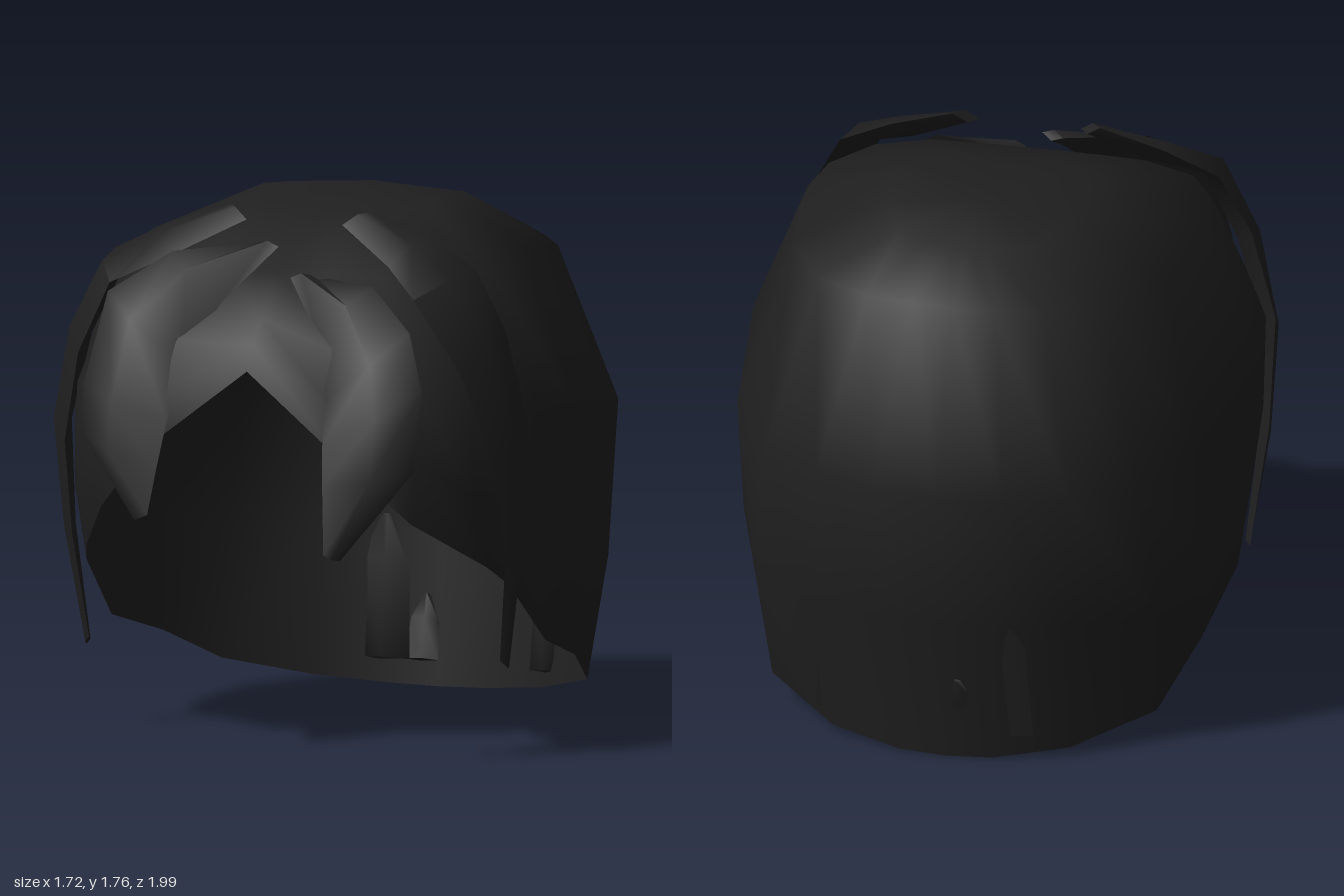
import * as THREE from 'three';
import { mergeVertices, toCreasedNormals } from 'three/addons/utils/BufferGeometryUtils.js';

const hair = new THREE.MeshStandardMaterial({ color: 0x1f1f1f, side: THREE.DoubleSide });
hair.name = 'charcoal hair';

function build(positions, index) {
  const g = new THREE.BufferGeometry();
  g.setAttribute('position', new THREE.Float32BufferAttribute(positions, 3));
  g.setIndex(index);
  return g;
}

function named(geometry, name) {
  const m = new THREE.Mesh(geometry, hair);
  m.name = name;
  return m;
}

// Cap columns from nape to forehead: shoulder, widest point, lower side, rim
const APEX = [0, 1.765, -0.29];
const CROWN_RISE = [0.015, 0.015, 0.02, 0.035, 0.07, 0.07, 0.07, 0.06, 0.06, 0.06, 0.06];
const COLUMNS = [
  [[0, 1.58, -0.74], [0, 1.0, -1], [0, 0.5, -0.93], [0, 0, -0.86]],
  [[0.14, 1.58, -0.73], [0.22, 1.0, -0.97], [0.2, 0.5, -0.9], [0.16, 0.005, -0.85]],
  [[0.3, 1.575, -0.7], [0.43, 1.0, -0.89], [0.42, 0.5, -0.83], [0.4, 0.03, -0.77]],
  [[0.49, 1.57, -0.59], [0.63, 1.0, -0.78], [0.68, 0.5, -0.68], [0.65, 0.1, -0.57]],
  [[0.63, 1.575, -0.36], [0.78, 1.05, -0.52], [0.79, 0.6, -0.38], [0.73, 0.23, -0.26]],
  [[0.66, 1.61, 0], [0.86, 1.12, 0.07], [0.83, 0.7, 0.08], [0.77, 0.33, 0.1]],
  [[0.65, 1.57, 0.27], [0.82, 1.15, 0.3], [0.8, 0.8, 0.35], [0.75, 0.55, 0.37]],
  [[0.54, 1.56, 0.46], [0.7, 1.17, 0.57], [0.71, 0.85, 0.56], [0.71, 0.62, 0.47]],
  [[0.36, 1.57, 0.52], [0.55, 1.25, 0.71], [0.58, 1.0, 0.75], [0.55, 0.79, 0.74]],
  [[0.18, 1.57, 0.53], [0.27, 1.36, 0.75], [0.32, 1.17, 0.83], [0.36, 1.0, 0.86]],
  [[0, 1.57, 0.53], [0, 1.44, 0.69], [0, 1.36, 0.77], [0, 1.28, 0.82]],
];

function capGeometry() {
  const half = COLUMNS.map((col, j) => {
    const crown = col[0].map((v, k) => (v + APEX[k]) / 2);
    crown[1] += CROWN_RISE[j];
    return [APEX, crown, ...col];
  });
  const mirrored = half.slice(1, -1).reverse().map(c => c.map(([x, y, z]) => [-x, y, z]));
  const all = [...half, ...mirrored];
  const rows = half[0].length, n = all.length, index = [];
  for (let j = 0; j < n; j++) {
    for (let i = 0; i < rows - 1; i++) {
      const a = j * rows + i, b = ((j + 1) % n) * rows + i;
      if (i > 0) index.push(a, b, a + 1);
      index.push(b, b + 1, a + 1);
    }
  }
  const g = mergeVertices(build(all.flat(2), index));
  g.computeVertexNormals();
  return g;
}

// Tapered lock: each section is [inner edge, outer edge, ridge height]
function lockGeometry(sections, side) {
  const pos = [], index = [];
  const add = (a, b, c) => (side > 0 ? index.push(a, b, c) : index.push(a, c, b));
  for (const [inner, outer, t] of sections) {
    const I = new THREE.Vector3(...inner), O = new THREE.Vector3(...outer);
    const mid = I.clone().lerp(O, 0.5);
    const out = new THREE.Vector3(mid.x, (mid.y - 1) * 0.7, mid.z).normalize();
    const ridge = mid.clone().addScaledVector(out, t);
    const under = mid.clone().addScaledVector(out, -t);
    for (const p of [I, ridge, O, under]) pos.push(p.x * side, p.y, p.z);
  }
  for (let i = 0; i < sections.length - 1; i++) {
    for (let k = 0; k < 4; k++) {
      const a = i * 4 + k, b = i * 4 + (k + 1) % 4;
      add(a, a + 4, b);
      add(b, a + 4, b + 4);
    }
  }
  const e = (sections.length - 1) * 4;
  add(0, 1, 2); add(0, 2, 3);
  add(e, e + 2, e + 1); add(e, e + 3, e + 2);
  return toCreasedNormals(build(pos, index), 1.1);
}

const RIGHT_FRINGE = [
  [[0.02, 1.65, 0.49], [0.1, 1.655, 0.45], 0.02],
  [[0.16, 1.48, 0.64], [0.36, 1.63, 0.58], 0.06],
  [[0.25, 1.3, 0.76], [0.55, 1.5, 0.68], 0.07],
  [[0.27, 1.1, 0.86], [0.6, 1.2, 0.77], 0.06],
  [[0.29, 0.95, 0.9], [0.58, 1.05, 0.84], 0.05],
  [[0.31, 0.8, 0.93], [0.36, 0.78, 0.92], 0.015],
];
const LEFT_FRINGE = [
  [[0.05, 1.56, 0.56], [0.12, 1.565, 0.52], 0.025],
  [[0.2, 1.4, 0.7], [0.36, 1.55, 0.6], 0.06],
  [[0.28, 1.2, 0.82], [0.53, 1.42, 0.7], 0.07],
  [[0.3, 1.06, 0.9], [0.61, 1.24, 0.79], 0.06],
  [[0.32, 0.93, 0.95], [0.61, 0.98, 0.87], 0.05],
  [[0.34, 0.71, 0.99], [0.39, 0.69, 0.97], 0.015],
];
// Broad lock over the temple, narrowing to a point below the rim
const SIDE_LOCK = [
  [[0.17, 1.72, 0.4], [0.25, 1.76, 0.34], 0.02],
  [[0.38, 1.61, 0.52], [0.46, 1.69, 0.36], 0.04],
  [[0.54, 1.53, 0.69], [0.64, 1.6, 0.39], 0.04],
  [[0.68, 1.28, 0.62], [0.75, 1.4, 0.4], 0.04],
  [[0.76, 0.97, 0.54], [0.83, 1.1, 0.4], 0.03],
  [[0.77, 0.65, 0.45], [0.81, 0.7, 0.39], 0.02],
  [[0.73, 0.3, 0.4], [0.75, 0.27, 0.37], 0.01],
];

// Pointed strand lying along the nape: centre x, width, height, depth
function napeStrand(x, w, h, z) {
  return [
    [[x + w * 0.1, h, z - 0.04], [x - w * 0.1, h, z - 0.04], 0.01],
    [[x + w * 0.5, h * 0.75, z - 0.02], [x - w * 0.5, h * 0.7, z - 0.02], 0.015],
    [[x + w * 0.6, 0.09, z + 0.02], [x - w * 0.6, 0.09, z + 0.02], 0.01],
  ];
}

export function createModel() {
  const group = new THREE.Group();
  group.name = 'hair';
  group.add(named(capGeometry(), 'hairCap'));

  // Fringe swept over the forehead
  group.add(named(lockGeometry(RIGHT_FRINGE, -1), 'rightFringe'));
  group.add(named(lockGeometry(LEFT_FRINGE, 1), 'leftFringe'));

  // Locks over the temples
  group.add(named(lockGeometry(SIDE_LOCK, 1), 'leftSideLock'));
  group.add(named(lockGeometry(SIDE_LOCK, -1), 'rightSideLock'));

  // Strands at the nape
  group.add(named(lockGeometry(napeStrand(0.19, 0.17, 0.56, -0.855), -1), 'napeStrandRight'));
  group.add(named(lockGeometry(napeStrand(0.05, 0.1, 0.3, -0.86), -1), 'napeStrandCentre'));
  group.add(named(lockGeometry(napeStrand(0.42, 0.08, 0.55, -0.77), 1), 'napeStrandLeft'));
  return group;
}
